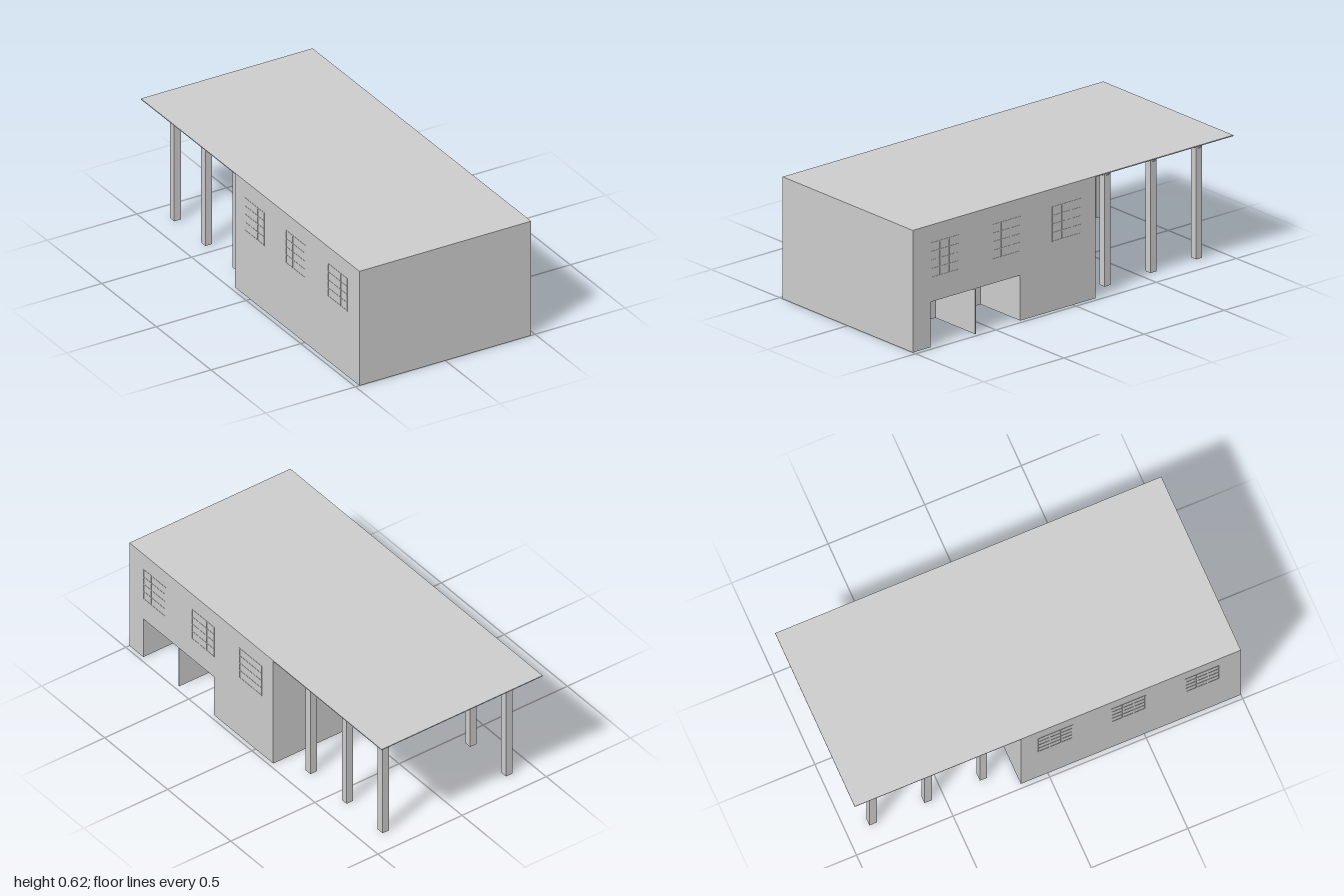
import * as THREE from 'three';

const material = new THREE.MeshStandardMaterial({ color: 0xcccccc, flatShading: true });

const HALF_W = 0.478, FRONT = 1, BACK = -0.14, ROOF_Y = 0.615, TOP = 0.62;
const BAY_H = 0.23, BAY_DEPTH = 0.29;

function addBox(parent, name, w, h, d, x, y, z) {
  const mesh = new THREE.Mesh(new THREE.BoxGeometry(w, h, d), material);
  mesh.name = name;
  mesh.position.set(x, y, z);
  parent.add(mesh);
  return mesh;
}

// Ground storey: plan outline with two bays cut into the +x side
function groundStorey() {
  const inner = HALF_W - BAY_DEPTH;
  const plan = [[-HALF_W, FRONT], [HALF_W, FRONT]];
  for (const [near, far] of [[0.89, 0.612], [0.606, 0.33]]) {
    plan.push([HALF_W, near], [inner, near], [inner, far], [HALF_W, far]);
  }
  plan.push([HALF_W, BACK], [-HALF_W, BACK]);
  const shape = new THREE.Shape(plan.map(([x, z]) => new THREE.Vector2(x, -z)));
  const geometry = new THREE.ExtrudeGeometry(shape, { depth: BAY_H, bevelEnabled: false });
  geometry.rotateX(-Math.PI / 2);
  const mesh = new THREE.Mesh(geometry, material);
  mesh.name = 'groundStorey';
  return mesh;
}

// Window grille: thin bars lying on a side wall
function windowGrille(side, z) {
  const group = new THREE.Group();
  group.name = 'windowGrille';
  const size = 0.18, bar = 0.005, thick = 0.004;
  for (let i = 0; i < 4; i++) {
    addBox(group, 'verticalBar', thick, size, bar, 0, 0, (i / 3 - 0.5) * (size - bar));
  }
  for (let i = 0; i < 5; i++) {
    addBox(group, 'horizontalBar', thick, bar, size, 0, (i / 4 - 0.5) * (size - bar), 0);
  }
  group.position.set(side * (HALF_W - 0.0005), 0.44, z);
  return group;
}

// Square post with four slanted braces under the roof
function porchColumn(x, z) {
  const group = new THREE.Group();
  group.name = 'porchColumn';
  addBox(group, 'post', 0.038, ROOF_Y, 0.038, 0, ROOF_Y / 2, 0);

  const profile = new THREE.Shape([
    [0.012, 0.562], [0.019, 0.562], [0.072, ROOF_Y], [0.056, ROOF_Y], [0.012, 0.571],
  ].map(([u, v]) => new THREE.Vector2(u, v)));
  const braceGeometry = new THREE.ExtrudeGeometry(profile, { depth: 0.014, bevelEnabled: false });
  braceGeometry.translate(0, 0, -0.007);
  for (let i = 0; i < 4; i++) {
    const brace = new THREE.Mesh(braceGeometry, material);
    brace.name = 'brace';
    brace.rotation.y = i * Math.PI / 2;
    group.add(brace);
  }
  group.position.set(x, 0, z);
  return group;
}

export function createModel() {
  const model = new THREE.Group();
  model.name = 'hallWithPorch';

  model.add(groundStorey());
  addBox(model, 'upperWalls', HALF_W * 2, ROOF_Y - BAY_H, FRONT - BACK,
    0, (ROOF_Y + BAY_H) / 2, (FRONT + BACK) / 2);

  // Flat roof running on over the rear porch
  addBox(model, 'roof', HALF_W * 2, TOP - ROOF_Y, 2, 0, (TOP + ROOF_Y) / 2, 0);

  for (const side of [-1, 1]) {
    for (const z of [0.8, 0.417, 0.04]) model.add(windowGrille(side, z));
    for (const z of [-0.293, -0.58, -0.865]) model.add(porchColumn(side * 0.367, z));
  }
  return model;
}
